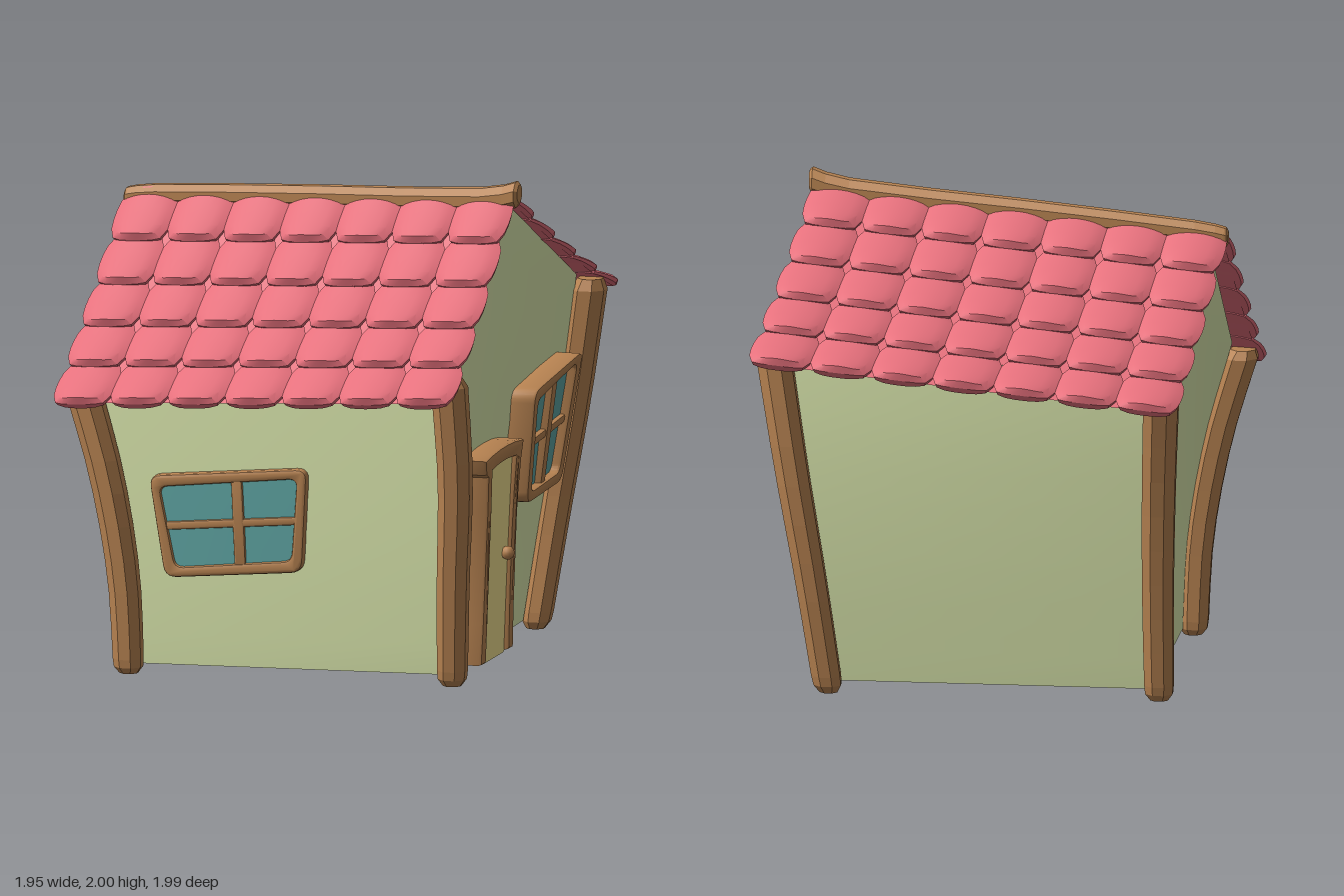
import * as THREE from 'three';
import { toCreasedNormals } from 'three/addons/utils/BufferGeometryUtils.js';

const mat = (color, opts = {}) => new THREE.MeshStandardMaterial({ color, ...opts });
const V = (x, y, z) => new THREE.Vector3(x, y, z);
const V2 = (x, y) => new THREE.Vector2(x, y);
const curve = (...pts) => new THREE.CatmullRomCurve3(pts.map(p => V(...p)));

// Centre lines of the corner posts
const FL = curve([-.69, 0, .61], [-.71, .4, .62], [-.78, .8, .62], [-.89, 1.18, .61]);
const FR = curve([.66, .02, .64], [.68, .45, .70], [.705, .88, .76], [.695, 1.31, .82]);
const BR = curve([.67, .03, -.59], [.74, .5, -.62], [.82, .97, -.62], [.90, 1.47, -.58]);
const BL = curve([-.66, .03, -.61], [-.66, .46, -.67], [-.67, .9, -.75], [-.69, 1.35, -.86]);

// Wall corners, set in from the posts, and the fold lines of the gables
const inset = (c, x, y, z) => new THREE.CatmullRomCurve3(
  c.points.map((p, i) => V(p.x + x, p.y + y * i / 3, p.z + z)));
const wallFL = inset(FL, .04, .035, -.05), wallFR = inset(FR, -.04, .035, -.05);
const wallBR = inset(BR, -.045, .02, .045), wallBL = inset(BL, .045, .02, .045);
const midR = curve([.64, .03, .05], [.665, .65, .1], [.715, 1.27, .15], [.76, 1.905, .18]);
const midL = curve([-.65, .03, 0], [-.67, .6, 0], [-.735, 1.2, -.03], [-.81, 1.79, -.06]);

// Point of a corner line at height y
function atHeight(c, y) {
  const y0 = c.points[0].y, y1 = c.points[3].y;
  return c.getPoint(THREE.MathUtils.clamp((y - y0) / (y1 - y0), 0, 1));
}

// Moves every vertex of a geometry by a rule
function deform(geo, rule) {
  const p = geo.attributes.position, v = V(0, 0, 0);
  for (let i = 0; i < p.count; i++) {
    const q = rule(v.fromBufferAttribute(p, i));
    p.setXYZ(i, q.x, q.y, q.z);
  }
  geo.computeVertexNormals();
  return geo;
}

// Places (across, height, outward) onto the front wall or the right wall
function onFront(v) {
  const a = atHeight(wallFL, v.y), b = atHeight(wallFR, v.y);
  return V(v.x, v.y, a.z + (b.z - a.z) * (v.x - a.x) / (b.x - a.x) + v.z);
}
function onRight(v) {
  const z = -v.x, m = atHeight(midR, v.y);
  const e = atHeight(z > m.z ? wallFR : wallBR, v.y);
  return V(m.x + (e.x - m.x) * (z - m.z) / (e.z - m.z) + v.z, v.y, z);
}

// Quad outline with rounded corners, listed counterclockwise
function roundedQuad(c, r, Kind = THREE.Shape) {
  const s = new Kind();
  c.forEach((p, i) => {
    const a = p.clone().add(c[(i + 3) % 4].clone().sub(p).setLength(r));
    const b = p.clone().add(c[(i + 1) % 4].clone().sub(p).setLength(r));
    if (i) s.lineTo(a.x, a.y); else s.moveTo(a.x, a.y);
    s.quadraticCurveTo(p.x, p.y, b.x, b.y);
  });
  s.closePath();
  return s;
}

// Extruded outline laid on a wall, with its outer face at the given distance
function slab(name, shape, front, bevel, place, material) {
  const geo = new THREE.ExtrudeGeometry(shape, {
    depth: front + .03 - bevel, bevelEnabled: bevel > 0, bevelSize: bevel, bevelOffset: -bevel,
    bevelThickness: bevel, bevelSegments: 2, curveSegments: 5,
  }).translate(0, 0, -.03);
  const mesh = new THREE.Mesh(toCreasedNormals(deform(geo, place), .5), material);
  mesh.name = name;
  return mesh;
}

// Octagonal timber along a curve, with rounded ends
function timber(name, path, r0, r1, place, material) {
  const prof = [[0, 0], [.62, 0], [.95, .022], [1, .05]];
  for (let i = 1; i < 8; i++) prof.push([1, .05 + i * .1125]);
  prof.push([1, .97], [.7, 1], [0, 1]);
  const pts = prof.map(([k, t]) => V2(k * (r0 + (r1 - r0) * t), t));
  const geo = new THREE.LatheGeometry(pts, 8, Math.PI / 8);
  const mesh = new THREE.Mesh(deform(geo, v => path.getPoint(v.y).add(place(v))), material);
  mesh.name = name;
  return mesh;
}

// Window from four corners: frame, glass and crossing bars
function makeWindow(name, corners, depth, split, place, wood, glass) {
  const g = new THREE.Group();
  g.name = name;
  const c = corners.map(p => V2(...p));
  const mid = c[0].clone().add(c[1]).add(c[2]).add(c[3]).multiplyScalar(.25);
  const shrunk = d => c.map(p => V2(p.x - Math.sign(p.x - mid.x) * d, p.y - Math.sign(p.y - mid.y) * d));
  const frame = roundedQuad(c, .05);
  frame.holes.push(roundedQuad(shrunk(.045), .035, THREE.Path));
  g.add(slab('windowFrame', frame, depth, .012, place, wood));
  g.add(slab('windowGlass', roundedQuad(shrunk(.035), .03), depth * .6, 0, place, glass));
  const along = (a, b, k) => c[a].clone().lerp(c[b], k);
  const bar = (a, b, w) => {
    const dir = b.clone().sub(a).normalize(), n = V2(-dir.y, dir.x).multiplyScalar(w / 2);
    const p = a.clone().addScaledVector(dir, .02), q = b.clone().addScaledVector(dir, -.02);
    return new THREE.Shape([p.clone().sub(n), q.clone().sub(n), q.clone().add(n), p.clone().add(n)]);
  };
  g.add(slab('uprightBar', bar(along(0, 1, split), along(3, 2, split), .048), depth * .88, .008, place, wood));
  g.add(slab('crossBar', bar(along(0, 3, .5), along(1, 2, .5), .034), depth * .82, .008, place, wood));
  return g;
}

// Roof slopes: s runs left to right, t from ridge to eave, h outward
const ridge = [V(-.89, 1.81, -.06), V(.80, 1.92, .18)];
const eaves = { 1: [V(-.975, 1.09, .725), V(.75, 1.215, .965)], [-1]: [V(-.755, 1.28, -.965), V(.985, 1.405, -.745)] };
const normals = { 1: V(-.15, .76, .64).normalize(), [-1]: V(0, .87, -.49).normalize() };
function roofPoint(side, s, t, h) {
  const a = ridge[0].clone().lerp(ridge[1], s);
  const b = eaves[side][0].clone().lerp(eaves[side][1], s);
  const p = a.lerp(b, t);
  p.y -= .1 * t * (1 - t);
  return p.addScaledVector(normals[side], h);
}

// Pillow-shaped roof tile, thick at its lower lip
function tileGeometry(side, col, row) {
  const geo = new THREE.BoxGeometry(1, 1, 1, 6, 2, 5);
  deform(geo, p => {
    const cu = Math.abs(2 * p.x), cv = Math.abs(2 * p.z), layer = p.y + .5;
    const shrink = layer > .9 ? .8 : layer > .4 ? 1 : .95;
    const u = p.x * (1 - .2 * cv ** 3) * shrink;
    const v = p.z * (1 - .14 * cu ** 3) * (p.z > 0 ? (shrink + 1) / 2 : 1);
    const thick = (.03 + .028 * (p.z + .5)) * (1 - .35 * cu * cu);
    const h = layer * thick + .012 * (p.z + .5) - .004;
    const s = (col + .5 + u * 1.05) / 7, t = (row + .47 + v * 1.25) / 5;
    return roofPoint(side, side > 0 ? s : 1 - s, t, h);
  });
  return toCreasedNormals(geo, .45);
}

// Walls lofted between the corner lines, with a floor
function wallGeometry() {
  const ring = [wallFL, wallFR, midR, wallBR, wallBL, midL], n = ring.length, levels = 10, pos = [], idx = [];
  for (let k = 0; k <= levels; k++)
    for (const c of ring) pos.push(...c.getPoint(.025 + .975 * k / levels).toArray());
  for (let k = 0; k < levels; k++)
    for (let i = 0; i < n; i++) {
      const a = k * n + i, b = k * n + (i + 1) % n;
      idx.push(a, b, b + n, a, b + n, a + n);
    }
  for (let i = 1; i < n - 1; i++) idx.push(0, i + 1, i);
  const geo = new THREE.BufferGeometry();
  geo.setAttribute('position', new THREE.Float32BufferAttribute(pos, 3));
  geo.setIndex(idx);
  return toCreasedNormals(geo, .5);
}

export function createModel() {
  const house = new THREE.Group();
  house.name = 'cottage';
  const wood = mat(0xb98452), beam = mat(0xb98452, { flatShading: true });
  const plaster = mat(0xe2efb3, { side: THREE.DoubleSide });
  const red = mat(0xe6707c), redSheet = mat(0xe6707c, { side: THREE.DoubleSide });
  const glass = mat(0x62aaa8), yellow = mat(0xf6e594);

  const walls = new THREE.Mesh(wallGeometry(), plaster);
  walls.name = 'walls';
  house.add(walls);

  // Corner posts and ridge beam
  const posts = { frontLeftCornerPost: FL, frontRightCornerPost: FR, backRightCornerPost: BR, backLeftCornerPost: BL };
  for (const [name, path] of Object.entries(posts))
    house.add(timber(name, path, .062, .076, v => V(v.x, 0, v.z), beam));
  const ridgePath = curve([-.89, 1.805, -.065], [-.8, 1.82, -.055], [-.05, 1.87, .055], [.7, 1.917, .165], [.815, 1.947, .185]);
  house.add(timber('ridgeBeam', ridgePath, .042, .057, v => V(0, -v.x, v.z), beam));

  // Roof: a thin sheet and tiles on each slope
  for (const side of [1, -1]) {
    const roof = new THREE.Group();
    roof.name = side > 0 ? 'frontRoof' : 'backRoof';
    const sheet = deform(new THREE.PlaneGeometry(1, 1, 1, 8),
      p => roofPoint(side, .5 + p.x * .97, .49 + p.y * .98, 0));
    const sheetMesh = new THREE.Mesh(sheet, redSheet);
    sheetMesh.name = 'roofSheet';
    roof.add(sheetMesh);
    for (let row = 0; row < 5; row++)
      for (let col = 0; col < 7; col++) {
        const tile = new THREE.Mesh(tileGeometry(side, col, row), red);
        tile.name = 'roofTile';
        roof.add(tile);
      }
    house.add(roof);
  }

  // Windows
  house.add(makeWindow('frontWindow', [[-.54, .395], [.04, .45], [.07, .88], [-.605, .81]], .045, .55, onFront, wood, glass));
  house.add(makeWindow('sideWindow', [[.08, .63], [.485, .655], [.50, 1.19], [.04, 1.10]], .1, .5, onRight, wood, glass));

  // Door with bent frame and knob
  const door = new THREE.Group();
  door.name = 'door';
  const f = new THREE.Shape();
  f.moveTo(-.465, .07);
  f.quadraticCurveTo(-.45, .5, -.50, .845);
  f.lineTo(-.53, .86);
  f.lineTo(-.548, .92);
  f.quadraticCurveTo(-.3, .955, -.052, .925);
  f.lineTo(-.06, .85);
  f.quadraticCurveTo(-.065, .5, -.035, .07);
  f.lineTo(-.095, .07);
  f.quadraticCurveTo(-.118, .5, -.118, .865);
  f.quadraticCurveTo(-.3, .885, -.45, .865);
  f.quadraticCurveTo(-.40, .5, -.40, .07);
  door.add(slab('doorFrame', f, .108, .014, onRight, wood));
  const panel = roundedQuad([V2(-.41, .06), V2(-.08, .06), V2(-.105, .875), V2(-.46, .875)], .03);
  door.add(slab('doorPanel', panel, .085, 0, onRight, yellow));
  const knob = new THREE.Mesh(new THREE.SphereGeometry(.028, 12, 8), wood);
  knob.name = 'doorKnob';
  knob.position.copy(onRight(V(-.17, .48, .108)));
  door.add(knob);
  house.add(door);
  return house;
}
